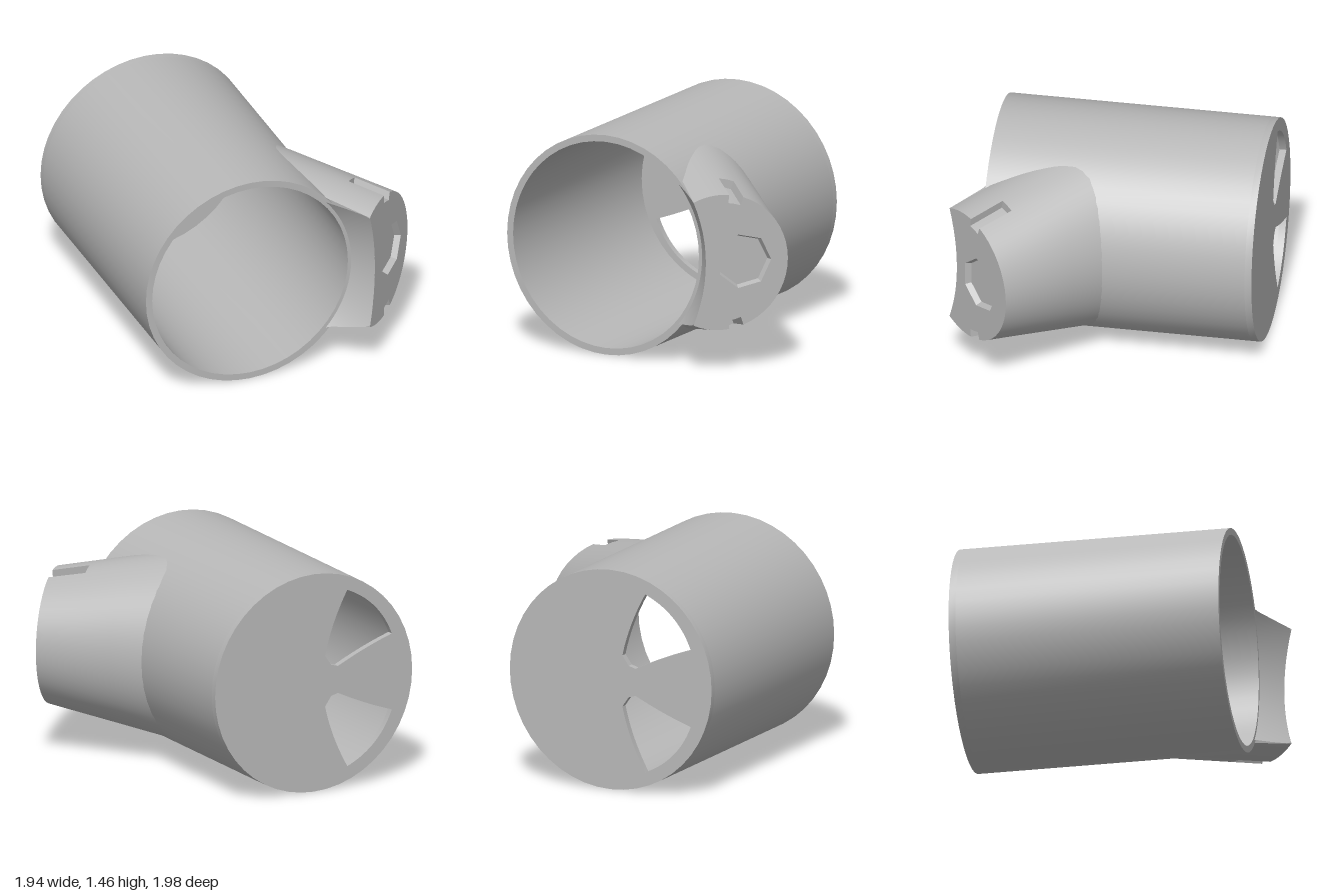
import * as THREE from 'three';
import { toCreasedNormals } from 'three/addons/utils/BufferGeometryUtils.js';

const CX = -0.24, CY = 0.737, R = 0.731, RI = 0.687, FRONT = 0.78, BACK = -1, PLATE = 0.045;
const S = Math.SQRT1_2;

// Branch frame: t across the end face, v vertical, d depth behind the end face
const toWorld = (t, v, d) => new THREE.Vector3(0.65 + (t - d) * S, CY + v, 0.85 - (t + d) * S);
const radT = d => 0.45 + 0.07 * d;
const radV = d => 0.45 + 0.21 * d;

// Positive outside the tube and its flared mouth
const mouthR = z => 0.71 + 0.75 * Math.max(0, z - FRONT);
const outside = p => Math.hypot(p.x - CX, p.y - CY) - mouthR(p.z);

function insideBranch(p) {
  const x = p.x - 0.65, z = p.z - 0.85;
  const t = (x - z) * S, d = -(x + z) * S;
  return d >= 0 && (t / radT(d)) ** 2 + ((p.y - CY) / radV(d)) ** 2 < 1;
}

// First value from a towards b where the test turns false
function firstFail(a, b, test, steps = 800) {
  for (let i = 0; i <= steps; i++) {
    const u = a + (b - a) * i / steps;
    if (!test(u)) return u;
  }
  return b;
}

// Surface from rows of points
function grid(rows, crease = 0.5) {
  const n = rows[0].length, index = [];
  for (let i = 0; i < rows.length - 1; i++)
    for (let j = 0; j < n - 1; j++) {
      const a = i * n + j, b = a + n;
      index.push(a, a + 1, b, a + 1, b + 1, b);
    }
  const g = new THREE.BufferGeometry().setFromPoints(rows.flat());
  g.setIndex(index);
  return toCreasedNormals(g, crease);
}

export function createModel() {
  const model = new THREE.Group();
  model.name = 'branchedTube';
  const grey = new THREE.MeshStandardMaterial({ color: 0xb8b8b8, side: THREE.DoubleSide });
  grey.name = 'grey plastic';
  const add = (name, geometry) => {
    const m = new THREE.Mesh(geometry, grey);
    m.name = name;
    model.add(m);
    return m;
  };

  // Main tube wall with a flat front rim
  const z0 = BACK + PLATE;
  const profile = [[R, z0], [R, FRONT], [RI, FRONT], [RI, z0]].map(p => new THREE.Vector2(...p));
  const tube = new THREE.LatheGeometry(profile, 48).rotateX(Math.PI / 2).translate(CX, CY, 0);
  add('tubeWall', toCreasedNormals(tube, 0.5));

  // Back plate with two mirrored fan-shaped openings
  const plate = new THREE.Shape().absarc(0, 0, R, 0, Math.PI * 2);
  for (const s of [1, -1]) {
    const hole = new THREE.Path();
    hole.moveTo(-0.25, 0.593 * s);
    hole.quadraticCurveTo(-0.49, 0.49 * s, -0.58, 0.255 * s);
    hole.quadraticCurveTo(-0.38, 0.19 * s, -0.18, 0.09 * s);
    hole.lineTo(-0.13, 0.105 * s);
    hole.lineTo(-0.085, 0.17 * s);
    hole.quadraticCurveTo(-0.13, 0.38 * s, -0.25, 0.593 * s);
    plate.holes.push(hole);
  }
  const plateGeo = new THREE.ExtrudeGeometry(plate, { depth: PLATE, bevelEnabled: false, curveSegments: 24 });
  add('backPlate', toCreasedNormals(plateGeo.translate(CX, CY, BACK), 0.5));

  // Columns around the branch, with sunken ones for the upper and lower slots
  const slotDepth = 0.055, slotLength = 0.25, slotA = 1.23, slotB = 1.45;
  const limit = firstFail(0, Math.PI, a => outside(toWorld(radT(0) * Math.cos(a), radV(0) * Math.sin(a), 0)) > 0, 3000);
  const half = [];
  for (let i = 0; i <= 10; i++) half.push([slotA * i / 10, 0]);
  for (let i = 0; i <= 2; i++) half.push([slotA + (slotB - slotA) * i / 2, slotDepth]);
  for (let i = 0; i <= 8; i++) half.push([slotB + (limit - slotB) * i / 8, 0]);
  const columns = [...half.slice(1).reverse().map(([a, s]) => [-a, s]), ...half];
  const skinPoint = (a, d, sink) =>
    toWorld((radT(d) - sink) * Math.cos(a), (radV(d) - sink) * Math.sin(a), d);

  // Branch skin, running back until it meets the tube
  const skin = [];
  for (const [a, sink] of columns) {
    const end = firstFail(0, 1.3, d => outside(skinPoint(a, d, 0)) > 0, 1500);
    const mid = Math.min(slotLength, end);
    skin.push([
      skinPoint(a, 0, sink), skinPoint(a, mid, sink), skinPoint(a, mid, 0),
      skinPoint(a, (mid + end) / 2, 0), skinPoint(a, end, 0),
    ]);
  }
  add('branchSkin', grid(skin));

  // Slanted end face: slotted arc closed by the concave mouth edge
  const outline = columns.map(([a, s]) =>
    new THREE.Vector2((radT(0) - s) * Math.cos(a), (radV(0) - s) * Math.sin(a)));
  const top = radV(0) * Math.sin(limit);
  for (let i = 1; i < 12; i++) {
    const v = top * (1 - i / 6);
    outline.push(new THREE.Vector2(firstFail(0.3, -0.6, t => outside(toWorld(t, v, 0)) > 0), v));
  }
  const socket = (r, d) => Array.from({ length: 8 }, (_, i) => {
    const a = (i % 7) * Math.PI * 2 / 7;
    return [0.155 + r * Math.cos(a), r * Math.sin(a), d];
  });
  const face = new THREE.Shape(outline);
  face.holes.push(new THREE.Path(socket(0.183, 0).slice(0, 7).map(p => new THREE.Vector2(p[0], p[1]))));
  add('branchEndFace', new THREE.ShapeGeometry(face).rotateY(Math.PI / 4).translate(0.65, CY, 0.85));

  // Shallow seven-sided socket in the end face
  const rings = [[0.183, 0], [0.168, 0.04], [0, 0.04]];
  add('socket', grid(rings.map(([r, d]) => socket(r, d).map(p => toWorld(...p))), 0.3));

  // Flared surface from the tube mouth out to the end face
  const flare = [];
  for (let i = 0; i <= 64; i++) {
    const a = (i / 32 - 1) * 1.1;
    const at = z => new THREE.Vector3(CX + mouthR(z) * Math.cos(a), CY + mouthR(z) * Math.sin(a), z);
    const end = firstFail(FRONT, 1.1, z => insideBranch(at(z)));
    flare.push([0, 0.5, 1].map(k => at(FRONT + (end - FRONT) * k)));
  }
  add('mouthFlare', grid(flare));

  return model;
}
